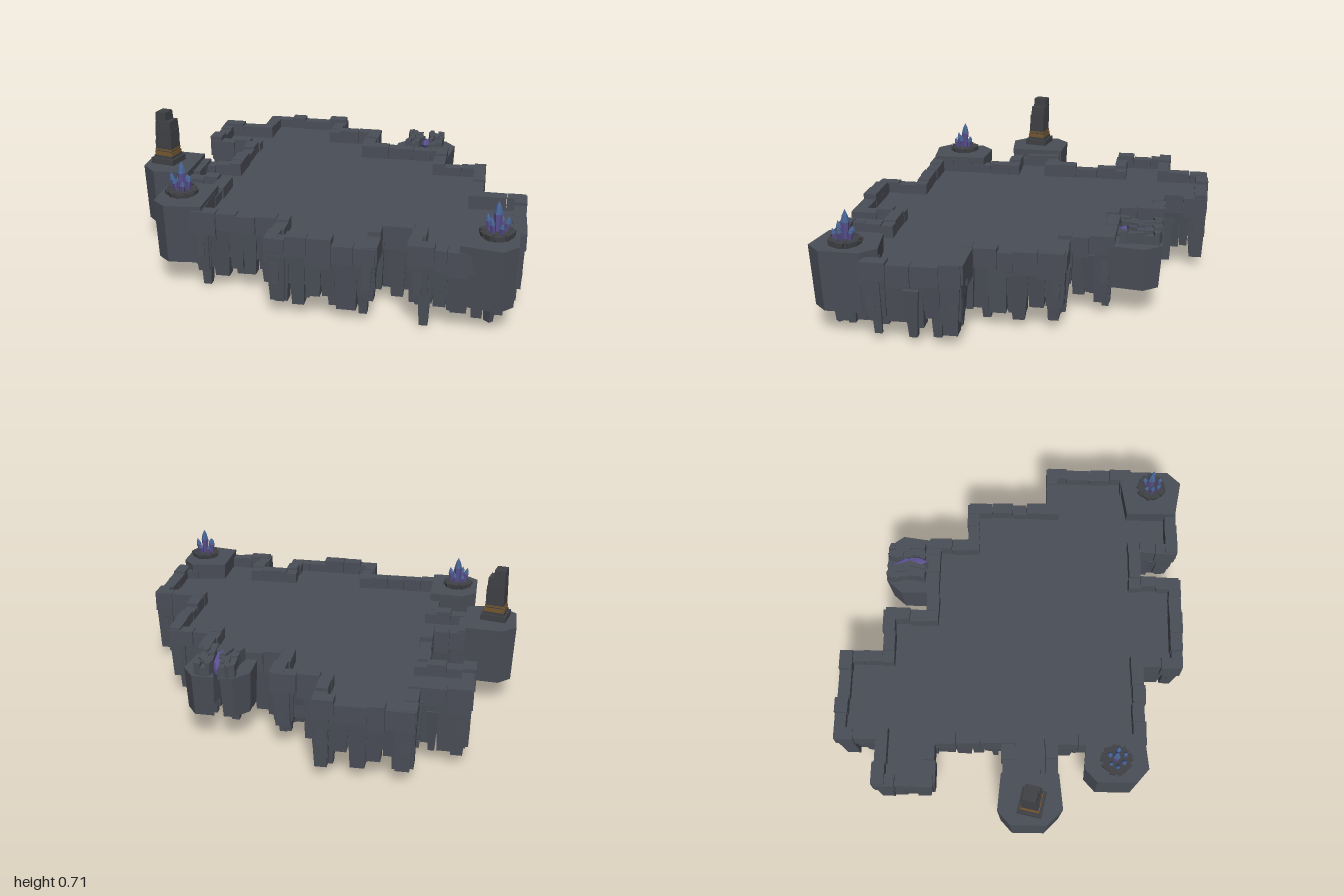
import * as THREE from 'three';
import { mergeGeometries } from 'three/addons/utils/BufferGeometryUtils.js';

// Outer edge of the island as x, z corners, clockwise seen from above
const OUTLINE = [
  [-0.57, -0.9], [-0.1, -0.9], [-0.1, -0.68], [0.13, -0.68], [0.13, -0.46], [0.55, -0.46],
  [0.55, -0.255], [0.77, -0.255], [0.77, 0.18], [0.99, 0.18], [0.99, 0.64], [0.93, 0.64],
  [0.93, 0.8], [0.86, 0.875], [0.49, 0.875], [0.49, 0.675], [0.34, 0.675], [0.34, 0.885],
  [-0.16, 0.885], [-0.16, 0.675], [-0.58, 0.675], [-0.58, 0.23], [-0.76, 0.23], [-0.76, -0.04],
  [-0.58, -0.04], [-0.58, -0.39], [-0.805, -0.39], [-0.805, -0.69], [-0.57, -0.69],
];
const FLOOR = 0.34;
const LEDGE = 0.43;

const mat = (name, color) => Object.assign(new THREE.MeshStandardMaterial({ color }), { name });

export function createModel() {
  const stone = mat('slate stone', 0x4a4e57);
  const rubbleStone = mat('dark rubble', 0x404145);
  const bronze = mat('aged bronze', 0x76572f);
  const violet = mat('violet crystal', 0x5a5190);
  const blue = mat('blue crystal', 0x486595);

  let seed = 7;
  const rnd = (a = 0, b = 1) => {
    seed = (seed * 16807) % 2147483647;
    return a + (b - a) * (seed / 2147483647);
  };

  const island = new THREE.Group();
  island.name = 'floatingIsland';

  const flat = (g) => {
    const f = g.index ? g.toNonIndexed() : g;
    f.deleteAttribute('uv');
    f.computeVertexNormals();
    return f;
  };
  const add = (name, parts, material, parent = island) => {
    const mesh = new THREE.Mesh(mergeGeometries(parts), material);
    mesh.name = name;
    parent.add(mesh);
  };

  // Box from y0 to y1 whose foot narrows by taper and moves along z by shift
  const block = (w, d, y0, y1, taper = 1, shift = 0) => {
    const g = new THREE.BoxGeometry(w, y1 - y0, d);
    const p = g.attributes.position;
    for (let i = 0; i < p.count; i++) {
      if (p.getY(i) < 0) p.setXYZ(i, p.getX(i) * taper, p.getY(i), p.getZ(i) * taper + shift);
    }
    return flat(g.translate(0, (y0 + y1) / 2, 0));
  };

  // Upright prism over an x, z polygon, narrowing towards its foot
  const prism = (points, y0, y1, taper = 1) => {
    const shape = new THREE.Shape(points.map(([x, z]) => new THREE.Vector2(x, -z)));
    const g = new THREE.ExtrudeGeometry(shape, { depth: y1 - y0, bevelEnabled: false });
    g.rotateX(-Math.PI / 2).translate(0, y0, 0);
    const cx = points.reduce((s, q) => s + q[0], 0) / points.length;
    const cz = points.reduce((s, q) => s + q[1], 0) / points.length;
    const p = g.attributes.position;
    for (let i = 0; i < p.count; i++) {
      if (p.getY(i) < y0 + 0.001) {
        p.setX(i, cx + (p.getX(i) - cx) * taper);
        p.setZ(i, cz + (p.getZ(i) - cz) * taper);
      }
    }
    return flat(g);
  };

  // Outline corner moved inwards by d; turn is negative where the outline bends in
  const corner = (i, d) => {
    const a = OUTLINE.at(i - 1), b = OUTLINE[i], c = OUTLINE[(i + 1) % OUTLINE.length];
    const u = new THREE.Vector2(b[0] - a[0], b[1] - a[1]).normalize();
    const v = new THREE.Vector2(c[0] - b[0], c[1] - b[1]).normalize();
    return { x: b[0] - (u.y + v.y) * d, z: b[1] + (u.x + v.x) * d, turn: u.cross(v) };
  };

  // Floor slab, just inside the cliff
  const inner = OUTLINE.map((_, i) => [corner(i, 0.025).x, corner(i, 0.025).z]);
  add('floor', [prism(inner, 0.29, FLOOR)], stone);

  // Uneven slabs under the floor
  const inside = (x, z) => {
    let hit = false;
    OUTLINE.forEach(([x1, z1], i) => {
      const [x2, z2] = OUTLINE.at(i - 1);
      if ((z1 > z) !== (z2 > z) && x < ((x2 - x1) * (z - z1)) / (z2 - z1) + x1) hit = !hit;
    });
    return hit;
  };
  const slabs = [];
  const S = 0.215;
  const rimOfSlab = [[-1, -1], [0, -1], [1, -1], [1, 0], [1, 1], [0, 1], [-1, 1], [-1, 0]];
  for (let x = -0.86; x < 1; x += S) {
    for (let z = -0.86; z < 1; z += S) {
      if (rimOfSlab.every(([u, v]) => inside(x + u * S / 2, z + v * S / 2))) {
        slabs.push(block(S - 0.008, S - 0.008, rnd(0.24, 0.285), 0.3).translate(x, 0, z));
      }
    }
  }
  add('undersideSlabs', slabs, stone);

  // Walk along every edge: backing wall, cliff columns, hanging spikes and rim stones
  const columns = [], spikes = [], rim = [];
  OUTLINE.forEach(([x1, z1], i) => {
    const [x2, z2] = OUTLINE[(i + 1) % OUTLINE.length];
    const length = Math.hypot(x2 - x1, z2 - z1);
    const dx = (x2 - x1) / length, dz = (z2 - z1) / length;
    const angle = Math.atan2(-dz, dx);
    const place = (g, t, inset) =>
      g.rotateY(angle).translate(x1 + dx * t - dz * inset, 0, z1 + dz * t + dx * inset);
    const run = (min, max, make) => {
      const n = Math.max(1, Math.round(length / ((min + max) / 2)));
      const cuts = Array.from({ length: n + 1 }, (_, k) =>
        (k === 0 ? 0 : k === n ? length : (length * k) / n + rnd(-0.35, 0.35) * (max - min)));
      for (let k = 0; k < n; k++) make((cuts[k] + cuts[k + 1]) / 2, cuts[k + 1] - cuts[k]);
    };
    columns.push(place(block(length, 0.035, 0.17, FLOOR - 0.006), length / 2, 0.04));
    run(0.05, 0.12, (t, w) => {
      columns.push(place(block(w + 0.006, 0.08, rnd(0.055, 0.15), FLOOR - 0.004, rnd(0.65, 0.9), rnd(0, 0.016)), t, rnd(0.04, 0.05)));
    });
    run(0.1, 0.18, (t, w) => {
      spikes.push(place(block(w * rnd(0.4, 0.6), rnd(0.05, 0.07), rnd(0.03, 0.11), rnd(0.26, 0.32), rnd(0.45, 0.75), 0.008), t, rnd(0.025, 0.06)));
    });
    run(0.07, 0.14, (t, w) => {
      rim.push(place(block(w - 0.002, rnd(0.058, 0.068), rnd(0.27, 0.32), rnd(0.385, 0.415)), t, rnd(0.02, 0.03)));
    });
    // Posts where the outline bends in
    const { x, z, turn } = corner(i, 0.028);
    if (turn < -0.5) {
      rim.push(block(0.064, 0.064, 0.28, rnd(0.385, 0.41)).translate(x, 0, z));
      columns.push(block(0.085, 0.085, rnd(0.08, 0.16), FLOOR - 0.004, 0.75).translate(x, 0, z));
    }
  });
  [[0.38, -0.42], [0.56, 0.83], [-0.52, 0.63], [0.5, -0.21], [-0.14, -0.7], [0.94, 0.3]].forEach(([x, z], i) => {
    spikes.push(block(0.065, 0.065, i * 0.007, 0.28, 0.6).translate(x, 0, z));
  });
  add('cliffColumns', columns, stone);
  add('hangingSpikes', spikes, stone);
  add('rimStones', rim, stone);

  // Raised ledges with clipped corners, drawn in below
  const ledges = {
    pillarLedge: [[-1, 0], [-0.93, -0.065], [-0.74, -0.05], [-0.74, 0.24], [-0.92, 0.26], [-1, 0.18]],
    leftCrystalLedge: [[-0.78, 0.43], [-0.71, 0.365], [-0.53, 0.38], [-0.53, 0.67], [-0.71, 0.69], [-0.78, 0.63]],
    cornerCrystalLedge: [[0.71, 0.61], [0.9, 0.58], [0.967, 0.65], [0.967, 0.84], [0.9, 0.91], [0.71, 0.875]],
  };
  for (const [name, points] of Object.entries(ledges)) {
    add(name, [prism(points, 0.13, LEDGE, 0.91)], stone);
  }

  // Split ledge at the back, with broken paving heaped on both halves
  const halves = [
    [[0.25, -0.47], [0.25, -0.61], [0.32, -0.69], [0.38, -0.69], [0.415, -0.58], [0.38, -0.43], [0.28, -0.43]],
    [[0.41, -0.69], [0.52, -0.69], [0.58, -0.61], [0.555, -0.43], [0.42, -0.43], [0.45, -0.57]],
  ];
  add('splitLedge', halves.map((h) => prism(h, 0.15, 0.365, 0.88)), stone);
  const paving = [];
  for (const [x0, lean] of [[0.312, 0.008], [0.43, 0.004]]) {
    const grid = Array.from({ length: 6 }, (_, r) => Array.from({ length: 4 }, (_, c) => [
      x0 + c * 0.027 + lean * (2 - Math.abs(r - 2.5)) + rnd(-0.007, 0.007),
      -0.68 + r * 0.039 + rnd(-0.009, 0.009),
    ]));
    for (let r = 0; r < 5; r++) {
      for (let c = 0; c < 3; c++) {
        const quad = [grid[r][c], grid[r][c + 1], grid[r + 1][c + 1], grid[r + 1][c]];
        paving.push(prism(quad, 0.35, rnd(0.408, 0.434)));
      }
    }
  }
  add('brokenPaving', paving, stone);

  // Crystals: a shaft and a pointed tip
  const crystal = (r, h, x, y, z, lean, turn) => [
    [[0, 0], [r * 0.65, 0], [r, h * 0.58]],
    [[r, h * 0.58], [r * 0.62, h * 0.8], [0, h]],
  ].map((profile) => {
    const g = new THREE.LatheGeometry(profile.map((q) => new THREE.Vector2(...q)), 6);
    return flat(g.rotateZ(-lean).rotateY(turn).translate(x, y, z));
  });

  // Radius, height, x and z of each crystal in a cluster
  const CRYSTALS = [
    [0.021, 0.145, 0, -0.004], [0.014, 0.088, -0.037, 0], [0.014, 0.083, 0.034, 0.006],
    [0.014, 0.08, -0.018, 0.026], [0.012, 0.06, 0.018, 0.038], [0.013, 0.068, 0.014, -0.03],
    [0.012, 0.055, -0.024, -0.026],
  ];
  const crystalCluster = (name, cx, cz) => {
    const group = new THREE.Group();
    group.name = name;
    const stones = [flat(new THREE.CylinderGeometry(0.072, 0.07, 0.026, 9).translate(0, 0.014, 0))];
    const grown = CRYSTALS.map(([r, h, x, z], i) =>
      crystal(r, h, x, 0.024, z, i ? rnd(0.1, 0.2) : 0.03, Math.atan2(-z, x)));
    // Broken stones round the plinth
    for (let k = 0; k < 9; k++) {
      const a = (k / 9) * Math.PI * 2;
      const g = block(rnd(0.028, 0.042), rnd(0.035, 0.045), 0.006, rnd(0.022, 0.032), 0.9);
      stones.push(g.rotateY(rnd(-0.4, 0.4) - a).translate(Math.cos(a) * 0.06, 0, Math.sin(a) * 0.06));
    }
    add('crystalRubble', stones, rubbleStone, group);
    add('crystalShafts', grown.map((c) => c[0]), violet, group);
    add('crystalTips', grown.map((c) => c[1]), blue, group);
    group.position.set(cx, LEDGE, cz);
    island.add(group);
  };
  crystalCluster('leftCrystals', -0.67, 0.525);
  crystalCluster('cornerCrystals', 0.865, 0.745);

  // Crystals lying in the crack of the split ledge
  const lodged = [
    crystal(0.024, 0.13, 0.4, 0.375, -0.65, 1.4, -1.3),
    crystal(0.024, 0.13, 0.425, 0.385, -0.6, 1.4, -1.65),
    crystal(0.022, 0.11, 0.41, 0.38, -0.59, 1.3, -1.5),
  ];
  add('crackCrystals', lodged.flat(), violet);

  // Broken pillar, chipped on one side
  const pillar = new THREE.Group();
  pillar.name = 'brokenPillar';
  add('pillarBase', [
    block(0.132, 0.124, 0.005, 0.036),
    block(0.108, 0.1, 0.036, 0.05),
  ], rubbleStone, pillar);
  add('pillarBand', [block(0.102, 0.094, 0.05, 0.07), block(0.098, 0.09, 0.076, 0.085)], bronze, pillar);
  add('pillarShaft', [
    block(0.094, 0.086, 0.05, 0.13),
    block(0.092, 0.082, 0.13, 0.185, 1.02).translate(0, 0, -0.003),
    block(0.086, 0.076, 0.185, 0.235, 1.05).translate(-0.002, 0, -0.006),
    block(0.056, 0.07, 0.235, 0.28, 1.08).translate(-0.017, 0, -0.009),
  ], rubbleStone, pillar);
  pillar.position.set(-0.89, LEDGE, 0.105);
  pillar.rotation.y = -0.22;
  island.add(pillar);

  return island;
}
